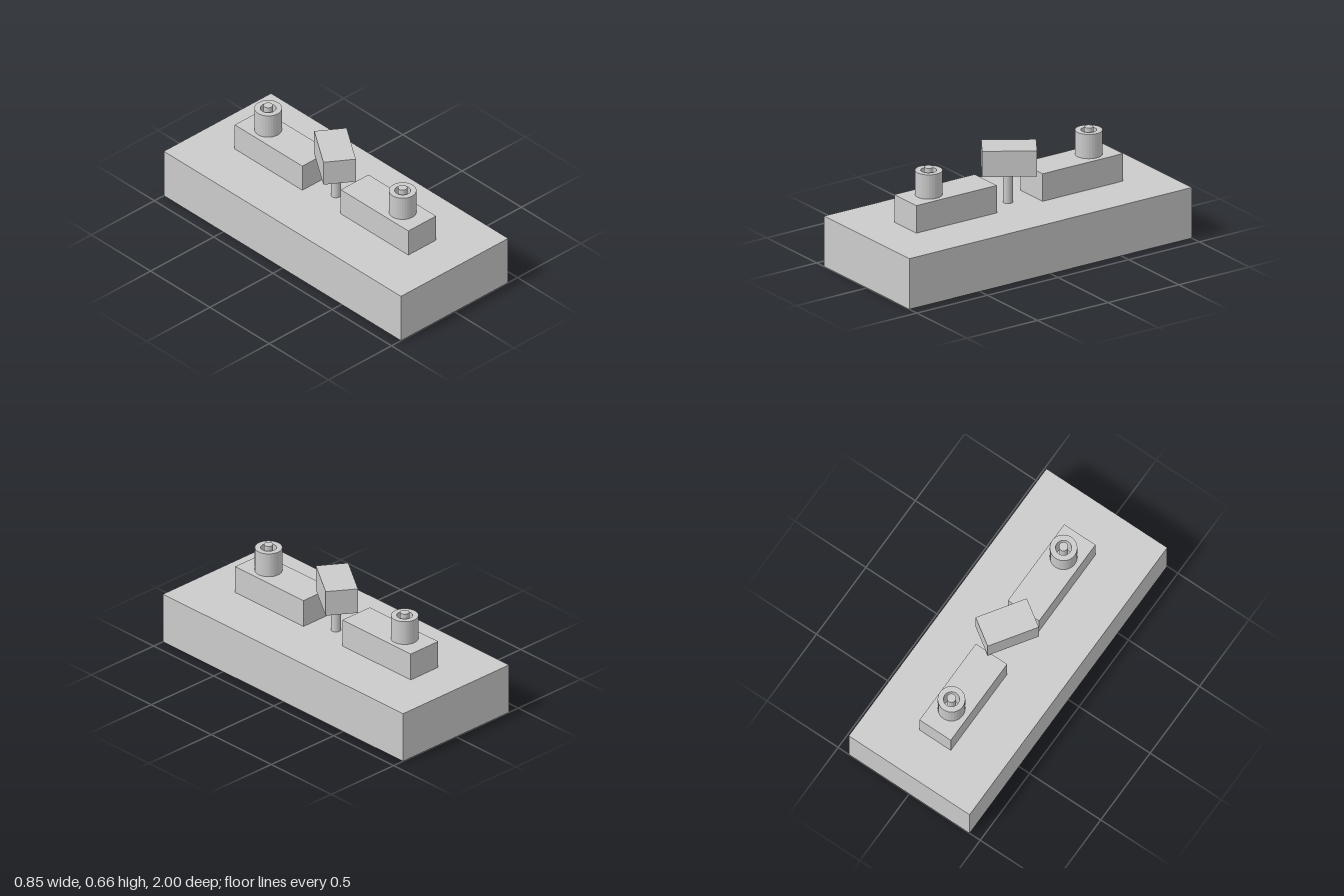
import * as THREE from 'three';

const material = new THREE.MeshStandardMaterial({ color: 0xcccccc, flatShading: true });

function add(parent, name, geometry, x, y, z) {
  const mesh = new THREE.Mesh(geometry, material);
  mesh.name = name;
  mesh.position.set(x, y, z);
  parent.add(mesh);
  return mesh;
}

// Box and cylinder given by their bottom and top heights
const box = (parent, name, w, d, y0, y1, z) =>
  add(parent, name, new THREE.BoxGeometry(w, y1 - y0, d), 0, (y0 + y1) / 2, z);
const cylinder = (parent, name, r, y0, y1, z) =>
  add(parent, name, new THREE.CylinderGeometry(r, r, y1 - y0, 32), 0, (y0 + y1) / 2, z);

// Closed ring-shaped tube wall
function tubeGeometry(outer, inner, height) {
  const profile = [[inner, 0], [outer, 0], [outer, height], [inner, height], [inner, 0]];
  return new THREE.LatheGeometry(profile.map(([r, y]) => new THREE.Vector2(r, y)), 32);
}

export function createModel() {
  const model = new THREE.Group();
  model.name = 'switchBoard';
  const baseTop = 0.313, blockTop = 0.483;

  box(model, 'base', 0.85, 2, 0, baseTop, 0);

  // Two terminals, each a block with a hollow post and a centre pin
  for (const [name, side] of [['frontTerminal', 1], ['backTerminal', -1]]) {
    const terminal = new THREE.Group();
    terminal.name = name;
    terminal.position.z = -0.005;
    box(terminal, 'block', 0.22, 0.57, baseTop, blockTop, side * 0.447);
    add(terminal, 'socket', tubeGeometry(0.08, 0.046, 0.15), 0, blockTop, side * 0.567);
    cylinder(terminal, 'pin', 0.027, blockTop, 0.653, side * 0.567);
    model.add(terminal);
  }

  // Turned lever on a thin stem
  cylinder(model, 'stem', 0.03, baseTop, 0.502, 0);
  box(model, 'lever', 0.19, 0.318, 0.502, 0.66, -0.008).rotation.y = -0.587;

  return model;
}
